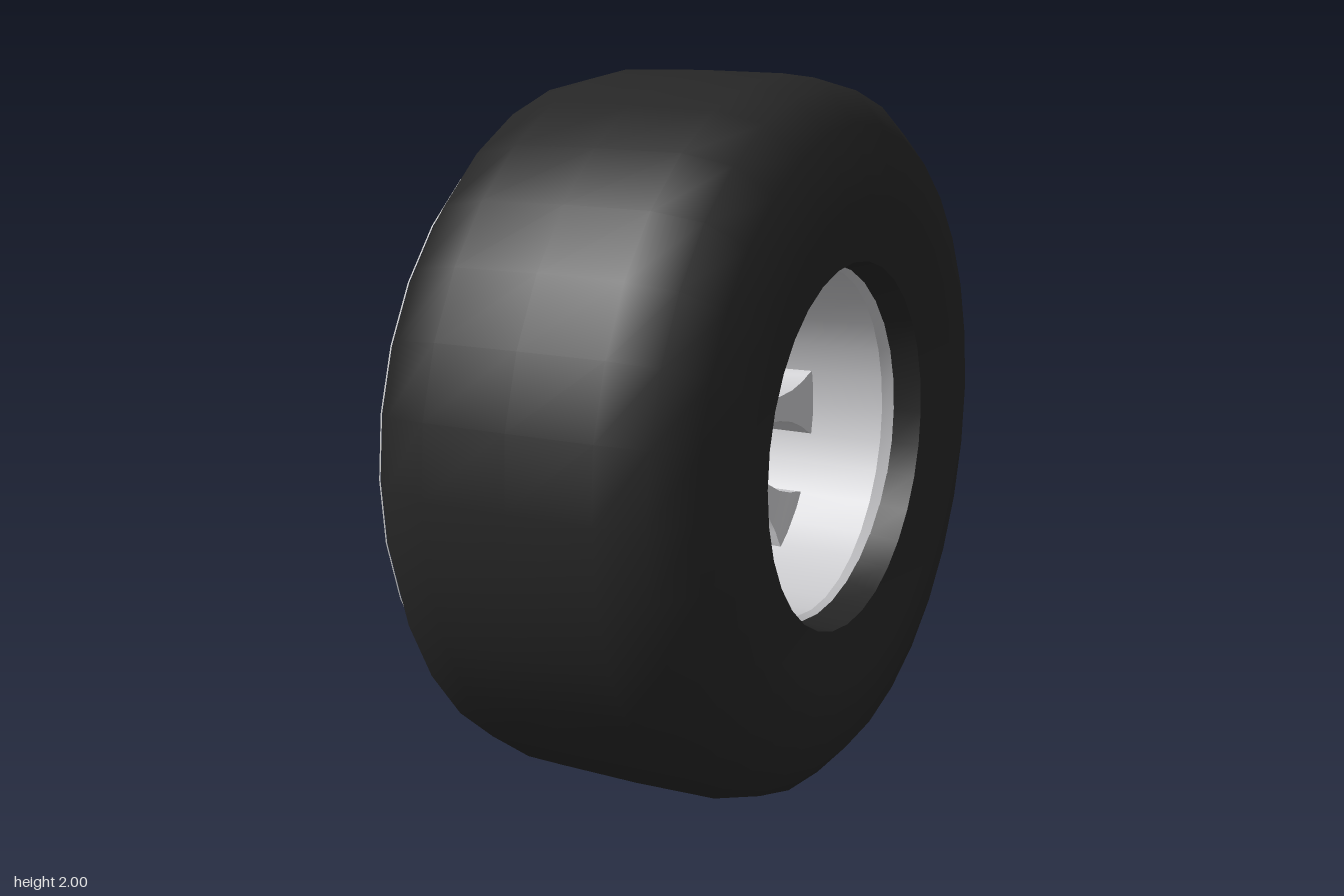
import * as THREE from 'three';
import { toCreasedNormals } from 'three/addons/utils/BufferGeometryUtils.js';

const SIDES = 32;

// Revolves (radius, x) points about the x axis; outer surfaces run from -x to +x
function revolve(points, crease) {
  const profile = points.map(([r, x]) => new THREE.Vector2(r, x));
  const geo = new THREE.LatheGeometry(profile, SIDES).rotateZ(-Math.PI / 2);
  return toCreasedNormals(geo, crease);
}

// Slightly flattens the round at its front and back
function flattenEnds(geo) {
  const pos = geo.attributes.position;
  for (let i = 0; i < pos.count; i++) {
    pos.setZ(i, THREE.MathUtils.clamp(pos.getZ(i) * 1.012, -1, 1));
  }
  return geo;
}

// Lofts rectangular sections [distance from axis, half width, half thickness]
function loftSpoke(sections) {
  const verts = [];
  const index = [];
  sections.forEach(([a, w, t], i) => {
    verts.push(t, a, w, t, a, -w, -t, a, -w, -t, a, w);
    if (i === 0) return;
    for (let k = 0; k < 4; k++) {
      const p = (i - 1) * 4 + k;
      const q = (i - 1) * 4 + ((k + 1) % 4);
      index.push(p, q, q + 4, p, q + 4, p + 4);
    }
  });
  const geo = new THREE.BufferGeometry();
  geo.setAttribute('position', new THREE.Float32BufferAttribute(verts, 3));
  geo.setIndex(index);
  return toCreasedNormals(geo, 0.8);
}

export function createModel() {
  const rubber = new THREE.MeshStandardMaterial({ color: 0x262626 });
  rubber.name = 'black rubber';
  const white = new THREE.MeshStandardMaterial({ color: 0xc8c8c8 });
  white.name = 'sidewall white';
  const metal = new THREE.MeshStandardMaterial({ color: 0xcacacd });
  metal.name = 'silver metal';

  const wheel = new THREE.Group();
  wheel.name = 'wheel';
  const add = (name, geo, mat, parent = wheel) => {
    const mesh = new THREE.Mesh(geo, mat);
    mesh.name = name;
    parent.add(mesh);
    return mesh;
  };

  // Tyre: mirrored half profile from bead to tread centre
  const half = [[0.49, 0.36], [0.505, 0.455], [0.665, 0.487], [0.69, 0.495],
    [0.87, 0.455], [0.962, 0.37], [0.994, 0.24]];
  const tyreProfile = [
    ...half.map(([r, x]) => [r, -x]),
    [0.998, 0],
    ...half.slice().reverse(),
  ];
  add('tyre', flattenEnds(revolve(tyreProfile, 0.75)), rubber);

  // Pale band on the -x sidewall
  add('sidewallBand', flattenEnds(revolve(
    [[0.663, -0.488], [0.665, -0.492], [0.69, -0.5], [0.872, -0.459], [0.874, -0.453]], 0.75)), white);

  // Rim barrel, seen from inside
  add('rimBarrel', revolve([[0.498, 0.365], [0.498, 0.375], [0.48, 0.345], [0.474, 0],
    [0.478, -0.2], [0.489, -0.21], [0.482, -0.345], [0.498, -0.375], [0.498, -0.365]], 0.5), metal);

  // Hub and eight waisted spokes that thicken toward the rim
  const hubThickness = 0.05;
  const hubGeo = new THREE.CylinderGeometry(0.195, 0.195, hubThickness * 2, 8)
    .rotateY(Math.PI / 8).rotateZ(-Math.PI / 2);
  add('hub', toCreasedNormals(hubGeo, 0.3), metal);

  const spokes = new THREE.Group();
  spokes.name = 'spokes';
  wheel.add(spokes);
  const spokeGeo = loftSpoke([
    [0.18, 0.075, hubThickness], [0.187, 0.064, 0.051], [0.205, 0.052, 0.053],
    [0.24, 0.041, 0.058], [0.29, 0.035, 0.066], [0.34, 0.037, 0.078],
    [0.39, 0.048, 0.093], [0.43, 0.069, 0.108], [0.45, 0.086, 0.116], [0.472, 0.1, 0.124],
  ]);
  for (let i = 0; i < 8; i++) {
    add('spoke', spokeGeo, metal, spokes).rotation.x = (i * Math.PI) / 4;
  }

  wheel.position.y = 1;
  const model = new THREE.Group();
  model.name = 'wheelAssembly';
  model.add(wheel);
  return model;
}
